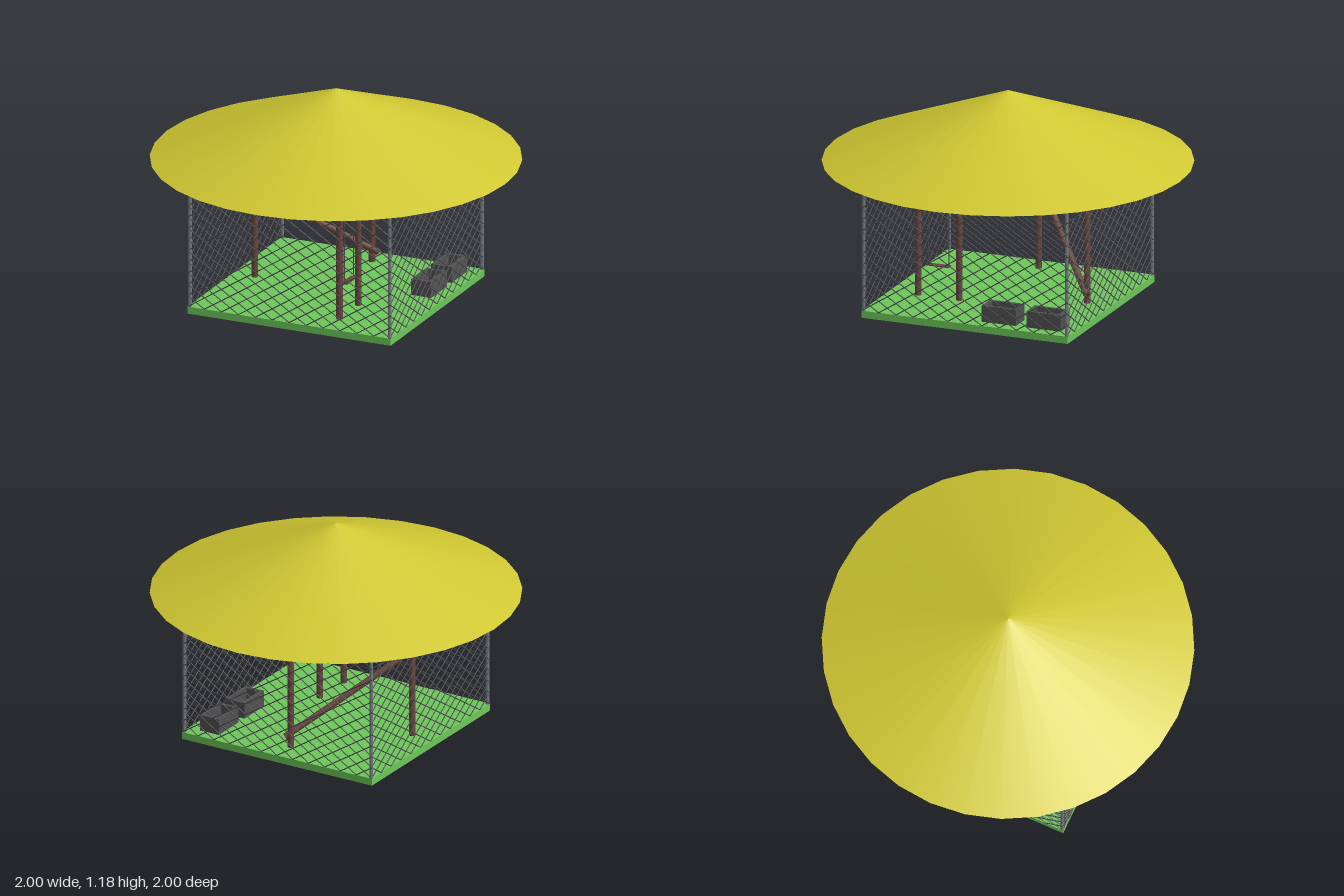
import * as THREE from 'three';
import { mergeGeometries } from 'three/addons/utils/BufferGeometryUtils.js';

const mat = (color) => new THREE.MeshStandardMaterial({ color });
const GRASS = mat(0x6cc85a), THATCH = mat(0xd0c832), WOOD = mat(0x6b4640);
const STEEL = mat(0x757a80), WIRE = mat(0x4c4c50), STONE = mat(0x505052);

// Rod between two points
function rod(a, b, radius, sides) {
  const from = new THREE.Vector3(...a), to = new THREE.Vector3(...b);
  const dir = to.clone().sub(from);
  const geo = new THREE.CylinderGeometry(radius, radius, dir.length(), sides);
  const turn = new THREE.Quaternion().setFromUnitVectors(new THREE.Vector3(0, 1, 0), dir.normalize());
  geo.applyQuaternion(turn);
  const mid = from.add(to).multiplyScalar(0.5);
  return geo.translate(mid.x, mid.y, mid.z);
}

// Chain-link panel in the xy plane: two families of diagonals clipped to the rectangle
function fenceGeometry(width, y0, y1, cols, rows) {
  const w = width / cols, h = (y1 - y0) / rows, wires = [];
  for (let i = -rows + 1; i < cols; i++) {
    const t0 = Math.max(0, -i), t1 = Math.min(rows, cols - i);
    for (const s of [-1, 1]) {
      const at = (t) => [s * ((i + t) * w - width / 2), y0 + t * h, 0];
      wires.push(rod(at(t0), at(t1), 0.003, 5));
    }
  }
  wires.push(rod([-width / 2, y1, 0], [width / 2, y1, 0], 0.002, 5));
  return mergeGeometries(wires);
}

export function createModel() {
  const model = new THREE.Group();
  const add = (name, geo, material, parent = model) => {
    const mesh = new THREE.Mesh(geo, material);
    mesh.name = name;
    parent.add(mesh);
    return mesh;
  };

  // Grass floor and conical roof
  add('floor', new THREE.BoxGeometry(1.2, 0.04, 1.2).translate(0, 0.02, 0), GRASS);
  add('roof', new THREE.ConeGeometry(1, 0.395, 32).translate(0, 0.9825, 0), THATCH);

  // Corner poles
  for (const x of [-0.59, 0.59])
    for (const z of [-0.59, 0.59])
      add('cornerPole', rod([x, 0.04, z], [x, 0.79, z], 0.01, 12), STEEL);

  // Wire fence on all four sides
  const fence = fenceGeometry(1.2, 0.04, 0.68, 12, 10);
  for (let i = 0; i < 4; i++) {
    const panel = add('fencePanel', fence, WIRE);
    panel.rotation.y = i * Math.PI / 2;
    panel.position.set(0, 0, 0.598).applyEuler(panel.rotation);
  }

  // Climbing perch: two posts joined by a sloping beam
  const perch = new THREE.Group();
  perch.name = 'climbingPerch';
  model.add(perch);
  for (const [x, z] of [[-0.47, 0.02], [0, -0.46]])
    add('perchPost', rod([x, 0.03, z], [x, 0.6, z], 0.018, 10), WOOD, perch);
  add('slopingBeam', rod([-0.495, 0.555, 0.04], [0.03, 0.095, -0.47], 0.018, 10), WOOD, perch);

  // Swing: two posts, top beam, hanging seat
  const swing = new THREE.Group();
  swing.name = 'swing';
  swing.position.set(0.22, 0, 0.31);
  model.add(swing);
  for (const s of [-1, 1]) {
    add('swingPost', rod([0, 0.03, s * 0.12], [0, 0.6, s * 0.12], 0.018, 10), WOOD, swing);
    add('swingRope', rod([0, 0.22, s * 0.06], [0, 0.59, s * 0.06], 0.003, 6), WIRE, swing);
  }
  add('swingBeam', rod([0, 0.592, -0.138], [0, 0.592, 0.138], 0.018, 10), WOOD, swing);
  add('swingSeat', new THREE.BoxGeometry(0.036, 0.006, 0.125).translate(0, 0.22, 0), WOOD, swing);

  // Stone troughs, open on top
  const rim = new THREE.Shape([[-0.06, -0.1], [0.06, -0.1], [0.06, 0.1], [-0.06, 0.1]]
    .map((p) => new THREE.Vector2(...p)));
  rim.holes.push(new THREE.Path([[-0.04, -0.08], [-0.04, 0.08], [0.04, 0.08], [0.04, -0.08]]
    .map((p) => new THREE.Vector2(...p))));
  const walls = new THREE.ExtrudeGeometry(rim, { depth: 0.09, bevelEnabled: false }).rotateX(-Math.PI / 2);
  for (const z of [-0.17, -0.43]) {
    const trough = new THREE.Group();
    trough.name = 'trough';
    trough.position.set(0.47, 0.04, z);
    model.add(trough);
    add('troughWalls', walls, STONE, trough);
    add('troughBottom', new THREE.BoxGeometry(0.08, 0.02, 0.16).translate(0, 0.01, 0), STONE, trough);
  }
  return model;
}
